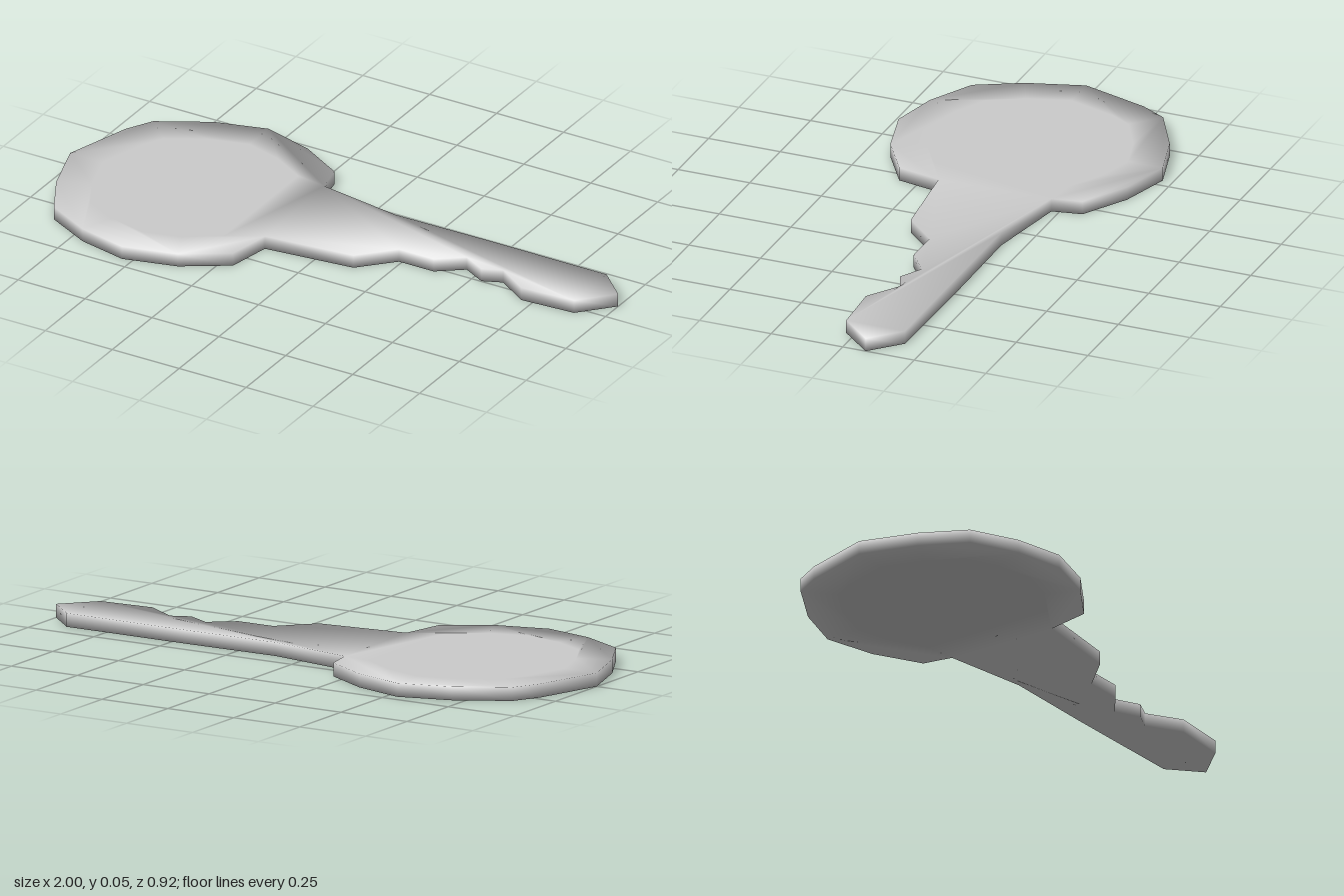
import * as THREE from 'three';

const THICKNESS = 0.045;
const BOW_CENTRE = new THREE.Vector2(-0.535, 0);

// Plan outline as (x, z): back half of the bow, blade, tip, teeth, front half of the bow
const bowBack = [[-1, 0], [-0.93, -0.23], [-0.88, -0.32], [-0.71, -0.415], [-0.535, -0.465], [-0.36, -0.415], [-0.205, -0.325]];
const blade = [
  [-0.185, -0.225], [0.11, -0.175], [0.45, -0.178], [0.9, -0.175], [1, -0.08],
  [0.9, 0.03], [0.71, 0.042], [0.6, -0.03], [0.535, -0.002], [0.455, -0.045],
  [0.37, 0.02], [0.24, 0.02], [0.135, 0.13], [-0.175, 0.165],
];
const bowFront = [[-0.205, 0.315], [-0.355, 0.41], [-0.535, 0.458], [-0.705, 0.42], [-0.86, 0.34], [-0.94, 0.19]];
const toVectors = (list) => list.map(([x, z]) => new THREE.Vector2(x, z));

// Rim normals: average of the two neighbouring edges, pointing outward
function outwardNormals(points) {
  const n = points.length;
  const edge = points.map((p, i) => {
    const q = points[(i + 1) % n];
    return new THREE.Vector2(q.y - p.y, p.x - q.x).normalize();
  });
  return edge.map((e, i) => e.clone().add(edge[(i + n - 1) % n]).normalize());
}

function keyGeometry() {
  const rim = toVectors([...bowBack, ...blade, ...bowFront]);
  const inner = toVectors([...bowBack, ...bowFront])
    .map((p) => p.clone().sub(BOW_CENTRE).multiplyScalar(0.74).add(BOW_CENTRE));
  const rimNormals = outwardNormals(rim);
  const all = [...rim, ...inner];
  const positions = [], normals = [], index = [];

  // Two layers of vertices; the rim leans outward, the bow's flat face is straight
  for (const side of [-1, 1]) {
    all.forEach((p, i) => {
      positions.push(p.x, side > 0 ? THICKNESS : 0, p.y);
      const n = i < rim.length ? rimNormals[i] : new THREE.Vector2();
      const v = new THREE.Vector3(n.x, side * 0.9, n.y).normalize();
      normals.push(v.x, v.y, v.z);
    });
  }

  // Bottom and top faces: rim band plus flat bow centre
  const top = all.length;
  const faces = [
    ...THREE.ShapeUtils.triangulateShape(rim, [inner]),
    ...THREE.ShapeUtils.triangulateShape(inner, []).map((f) => f.map((i) => i + rim.length)),
  ];
  for (const [a, b, c] of faces) {
    const ccw = THREE.ShapeUtils.area([all[a], all[b], all[c]]) > 0;
    const [p, q] = ccw ? [b, c] : [c, b];
    index.push(a, p, q, a + top, q + top, p + top);
  }

  // Side walls
  rim.forEach((_, i) => {
    const j = (i + 1) % rim.length;
    index.push(i, i + top, j + top, i, j + top, j);
  });

  const geometry = new THREE.BufferGeometry();
  geometry.setAttribute('position', new THREE.Float32BufferAttribute(positions, 3));
  geometry.setAttribute('normal', new THREE.Float32BufferAttribute(normals, 3));
  geometry.setIndex(index);
  return geometry;
}

export function createModel() {
  const group = new THREE.Group();
  group.name = 'key';
  const body = new THREE.Mesh(keyGeometry(), new THREE.MeshStandardMaterial({ color: 0xcccccc }));
  body.name = 'keyBody';
  group.add(body);
  return group;
}
